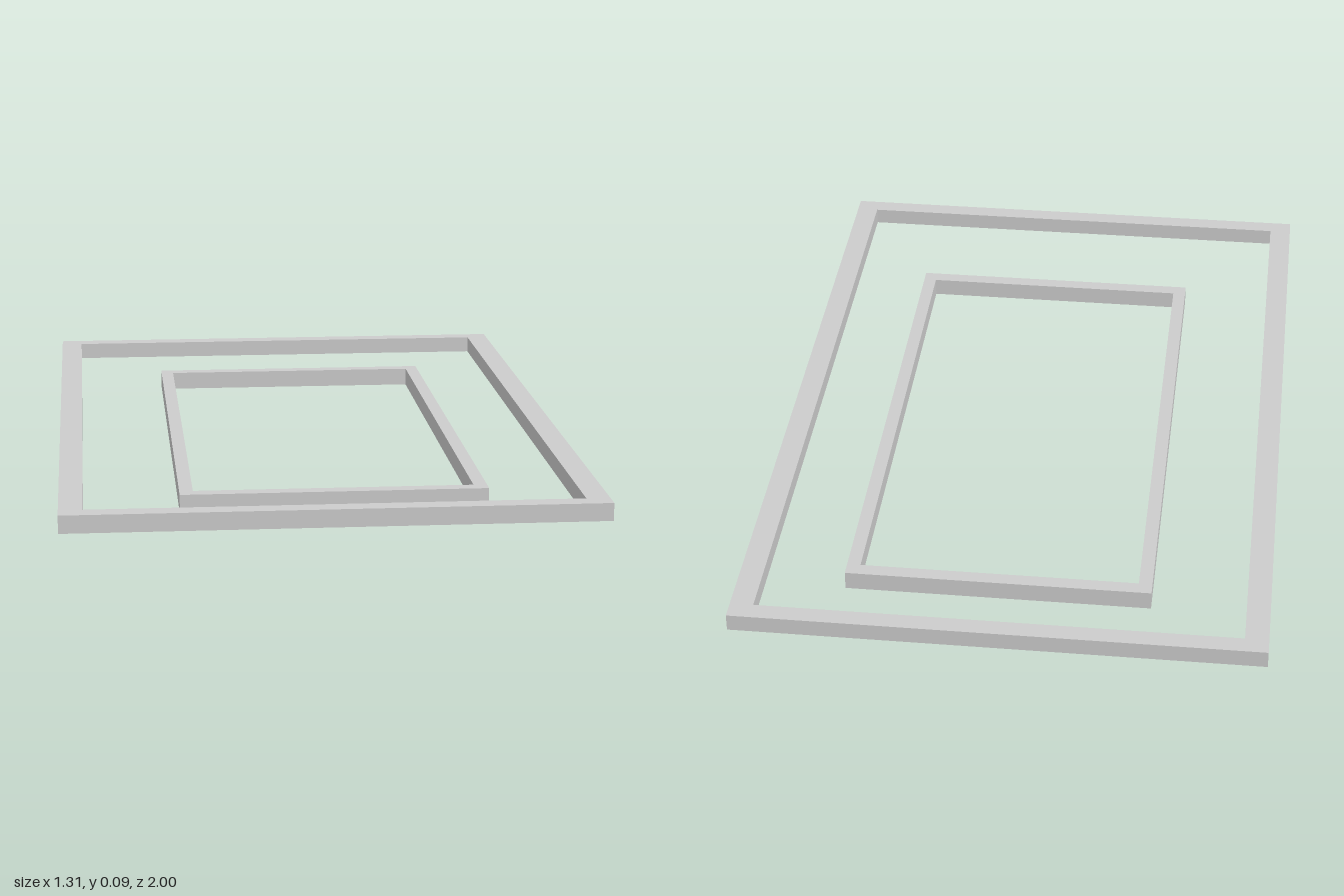
import * as THREE from 'three';

const material = new THREE.MeshStandardMaterial({ color: 0xcccccc, flatShading: true });

// Rectangular frame lying flat, with rails along its sides (sideRail) and ends (endRail)
function makeFrame(name, { width, length, sideRail, endRail, height, x, y, z }) {
  const rect = (path, w, l) => path
    .moveTo(-w / 2, -l / 2).lineTo(w / 2, -l / 2)
    .lineTo(w / 2, l / 2).lineTo(-w / 2, l / 2).closePath();
  const shape = new THREE.Shape();
  rect(shape, width, length);
  const hole = new THREE.Path();
  rect(hole, width - 2 * sideRail, length - 2 * endRail);
  shape.holes.push(hole);

  const geometry = new THREE.ExtrudeGeometry(shape, { depth: height, bevelEnabled: false });
  geometry.rotateX(-Math.PI / 2);
  const mesh = new THREE.Mesh(geometry, material);
  mesh.name = name;
  mesh.position.set(x, y, z);
  return mesh;
}

export function createModel() {
  const model = new THREE.Group();
  model.name = 'nestedFrames';
  model.add(
    // Large upper frame
    makeFrame('outerFrame', {
      width: 1.31, length: 2, sideRail: 0.058, endRail: 0.047, height: 0.044,
      x: 0, y: 0.048, z: 0,
    }),
    // Smaller lower frame, slightly off centre
    makeFrame('innerFrame', {
      width: 0.768, length: 1.43, sideRail: 0.034, endRail: 0.036, height: 0.048,
      x: 0.024, y: 0, z: -0.037,
    }),
  );
  return model;
}
